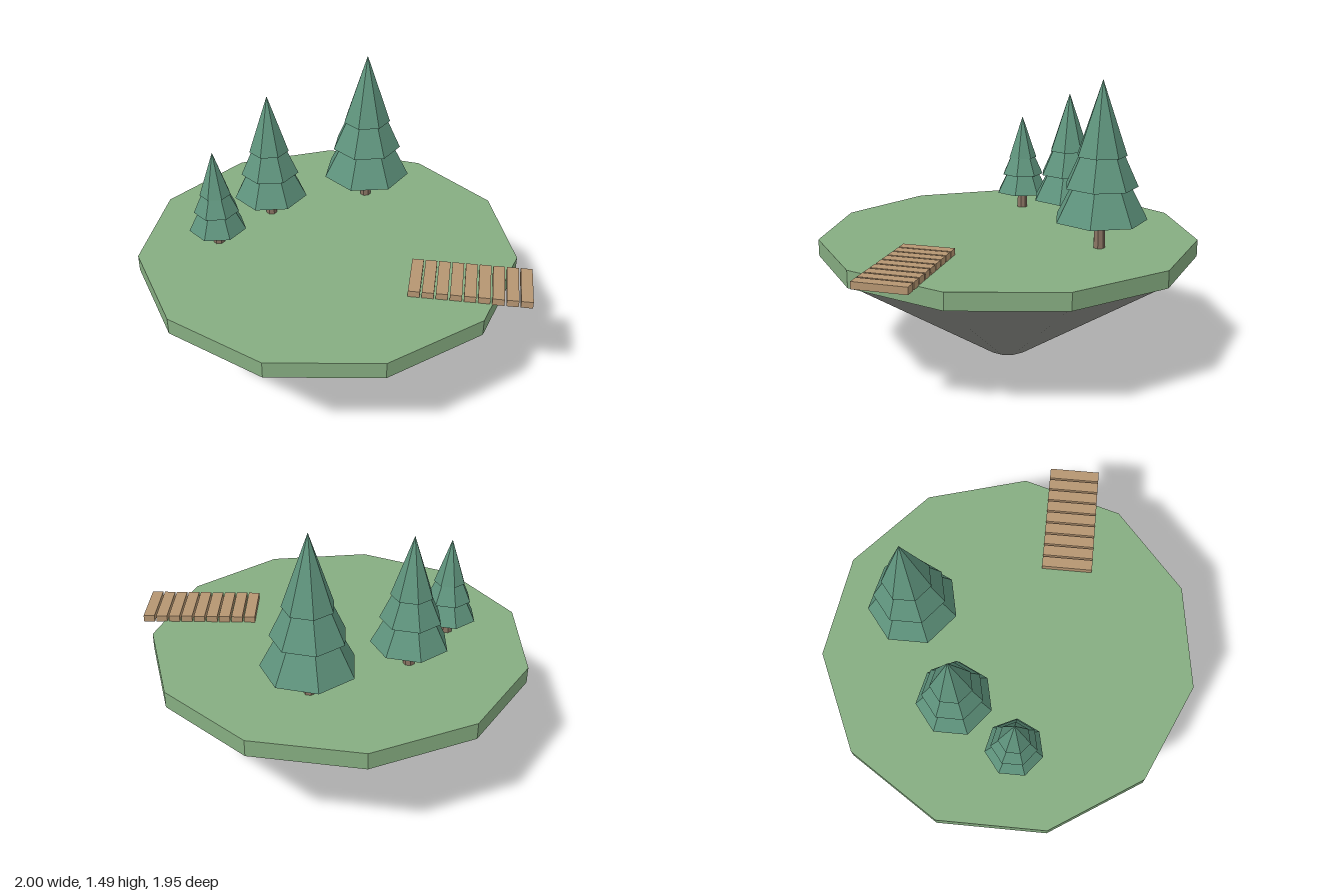
import * as THREE from 'three';

const GROUND = 0.654;

const flat = (name, color) => {
  const m = new THREE.MeshStandardMaterial({ color, flatShading: true });
  m.name = name;
  return m;
};

// Prism, frustum or cone standing on y, with its first corner on +x
function drum(name, material, rTop, rBottom, y0, y1, sides) {
  const geo = rTop > 0
    ? new THREE.CylinderGeometry(rTop, rBottom, y1 - y0, sides)
    : new THREE.ConeGeometry(rBottom, y1 - y0, sides);
  geo.rotateY(Math.PI / 2);
  const mesh = new THREE.Mesh(geo, material);
  mesh.name = name;
  mesh.position.y = (y0 + y1) / 2;
  return mesh;
}

export function createModel() {
  const grass = flat('grass green', 0x86ad81);
  const rock = flat('rock grey', 0x8f918a);
  const needles = flat('pine green', 0x5f947d);
  const bark = flat('bark brown', 0x8a7463);
  const wood = flat('plank tan', 0xb69672);

  const model = new THREE.Group();
  model.name = 'floatingIsland';

  // Island: a grass slab over a tapering rock
  const island = new THREE.Group();
  island.name = 'island';
  island.position.x = -0.056;
  island.add(
    drum('grassTop', grass, 0.984, 0.984, 0.567, GROUND, 11),
    drum('rockBase', rock, 0.966, 0.106, 0, 0.57, 11),
  );
  model.add(island);

  // Pines: [x, z, scale], each with three overlapping cones
  const tiers = [
    [0.236, 0.148, 0.603],
    [0.186, 0.314, 0.715],
    [0.127, 0.467, 0.836],
  ];
  const pines = [[0.078, -0.513, 1], [-0.408, -0.243, 0.836], [-0.622, 0.079, 0.634]];
  for (const [x, z, s] of pines) {
    const pine = new THREE.Group();
    pine.name = 'pineTree';
    pine.position.set(x, GROUND, z);
    pine.add(drum('trunk', bark, 0.026, 0.03, 0, 0.18 * s, 7));
    for (const [r, y0, y1] of tiers) {
      pine.add(drum('foliageTier', needles, 0, r * s, y0 * s, y1 * s, 7));
    }
    model.add(pine);
  }

  // Dock: nine planks running out over the right edge
  const dock = new THREE.Group();
  dock.name = 'dock';
  const plankGeo = new THREE.BoxGeometry(0.058, 0.036, 0.27);
  for (let i = 0; i < 9; i++) {
    const plank = new THREE.Mesh(plankGeo, wood);
    plank.name = 'plank';
    plank.position.set(0.429 + i * 0.0677, 0.669, 0.269);
    dock.add(plank);
  }
  model.add(dock);

  return model;
}
